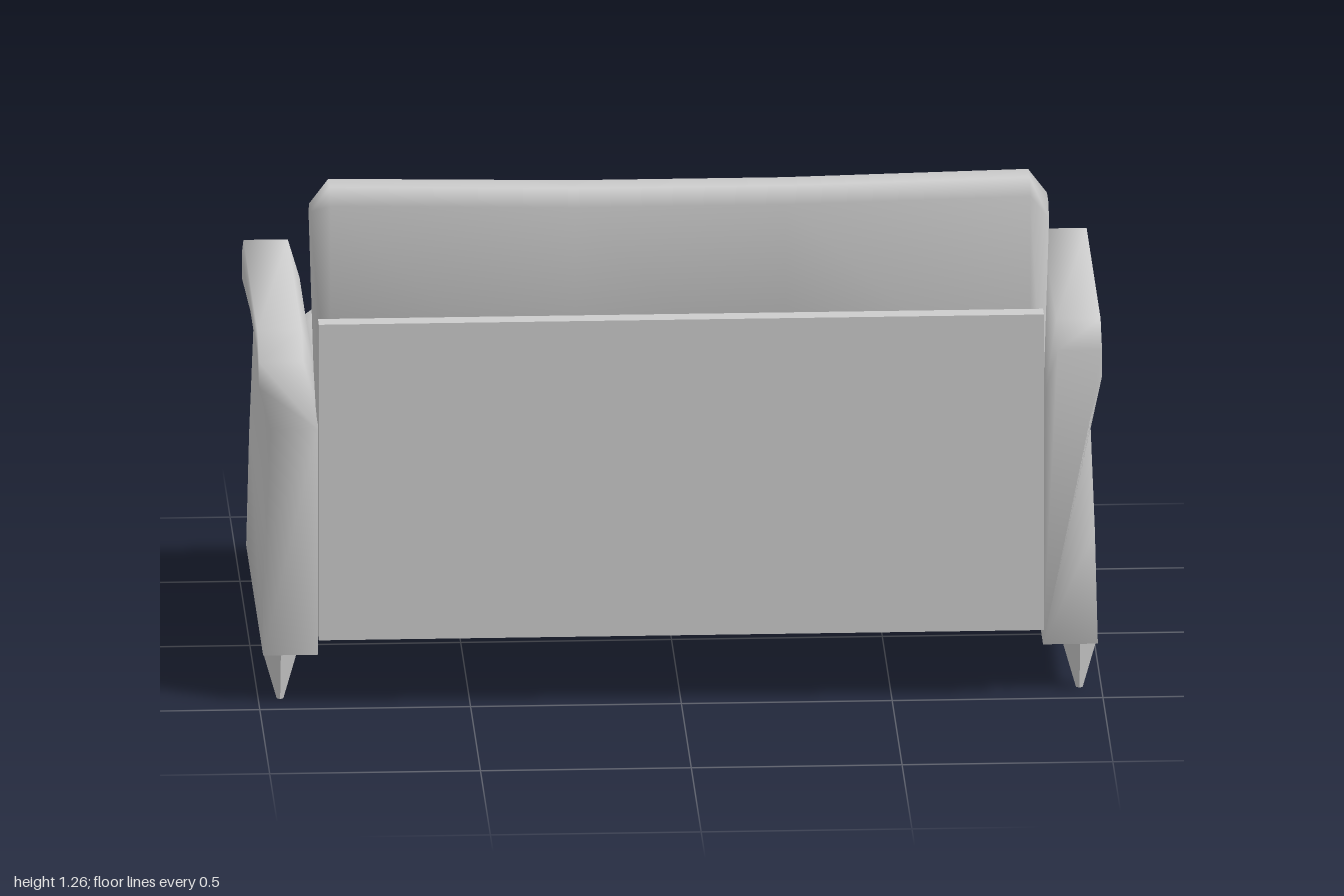
import * as THREE from 'three';

const fabric = new THREE.MeshStandardMaterial({ color: 0xcccccc, side: THREE.DoubleSide });
fabric.name = 'light grey';

// Skins a row of equal cross-sections; closed rings also get end caps.
function loft(sections, closed = true) {
  const n = sections[0].length, index = [];
  const last = (sections.length - 1) * n;
  for (let s = 0; s < sections.length - 1; s++) {
    for (let i = 0; i < (closed ? n : n - 1); i++) {
      const j = (i + 1) % n;
      const a = s * n + i, b = s * n + j, c = b + n, d = a + n;
      index.push(a, b, c, a, c, d);
    }
  }
  if (closed) {
    for (let i = 1; i < n - 1; i++) index.push(0, i + 1, i, last, last + i, last + i + 1);
  }
  const geo = new THREE.BufferGeometry();
  geo.setAttribute('position', new THREE.Float32BufferAttribute(sections.flat(2), 3));
  geo.setIndex(index);
  geo.computeVertexNormals();
  return geo;
}

export function createModel() {
  const sofa = new THREE.Group();
  sofa.name = 'sofa';

  const add = (name, geo, x = 0, y = 0, z = 0) => {
    const mesh = new THREE.Mesh(geo, fabric);
    mesh.name = name;
    mesh.position.set(x, y, z);
    sofa.add(mesh);
  };

  // Flat panels behind and below the seat
  add('backPanel', new THREE.BoxGeometry(1.72, 0.785, 0.045), 0, 0.5625, 0.4775);
  add('frontPanel', new THREE.BoxGeometry(1.72, 0.4, 0.025), 0, 0.32, -0.3885);

  // Soft rail under the cushions
  const railRing = [[-0.38, 0.515], [-0.465, 0.515], [-0.465, 0.595], [-0.38, 0.595]];
  add('seatRail', loft([-0.865, 0.865].map(x => railRing.map(([z, y]) => [x, y, z]))));

  // Three seat cushions: full sections alternate with sunken seams
  const full = [[-0.4, 0.595], [-0.46, 0.595], [-0.5, 0.65], [-0.46, 0.695], [-0.38, 0.697], [0.45, 0.697]];
  const seam = [[-0.4, 0.6], [-0.44, 0.605], [-0.463, 0.648], [-0.44, 0.672], [-0.38, 0.672], [0.45, 0.672]];
  const seat = [];
  for (const centre of [-0.575, 0, 0.575]) {
    const columns = [[-0.287, seam], [-0.245, full], [0.245, full], [0.287, seam]];
    for (const [dx, profile] of columns) {
      if (centre > -0.5 && dx === -0.287) continue; // seam shared with its neighbour
      seat.push(profile.map(([z, y]) => [centre + dx, y, z]));
    }
  }
  add('seatCushions', loft(seat, false));

  // Backrest, lower in the middle and rounded at both ends
  const backSection = (x, top, inset, foot = x) => [
    [foot, 0.69, 0.455 - inset], [foot, 0.69, 0.275 + inset],
    [x, top - 0.03, 0.28 + inset], [x, top, 0.335],
    [x, top, 0.4], [x, top - 0.03, 0.455 - inset],
  ];
  add('backrest', loft([
    backSection(-0.875, 1.205, 0.015, -0.86),
    backSection(-0.83, 1.265, 0),
    backSection(-0.25, 1.253, 0),
    backSection(0.25, 1.253, 0),
    backSection(0.83, 1.265, 0),
    backSection(0.875, 1.205, 0.015, 0.86),
  ]));

  // Armrests with a flared top that drops at both ends
  const armRing = [
    [0.86, 0.12], [0.99, 0.12], [0.983, 0.4], [0.972, 0.68], [1, 0.84],
    [1, 0.905], [0.895, 0.905], [0.867, 0.81], [0.86, 0.68],
  ];
  const armStations = [[-0.403, 0.055], [-0.325, 0], [0.38, 0], [0.455, 0.055]];
  for (const side of [1, -1]) {
    const geo = loft(armStations.map(([z, drop]) => {
      const ring = armRing.map(([x, y]) => [side * x, y > 0.8 ? y - drop : y, z]);
      return side > 0 ? ring : ring.reverse();
    }));
    add(side > 0 ? 'leftArm' : 'rightArm', geo);
  }

  // Tapered four-sided legs
  const legGeo = new THREE.CylinderGeometry(0.042, 0.008, 0.12, 4).toNonIndexed();
  legGeo.computeVertexNormals();
  for (const x of [-0.948, 0.948]) {
    for (const z of [-0.361, 0.413]) add(z < 0 ? 'seatSideLeg' : 'backSideLeg', legGeo, x, 0.06, z);
  }

  return sofa;
}
